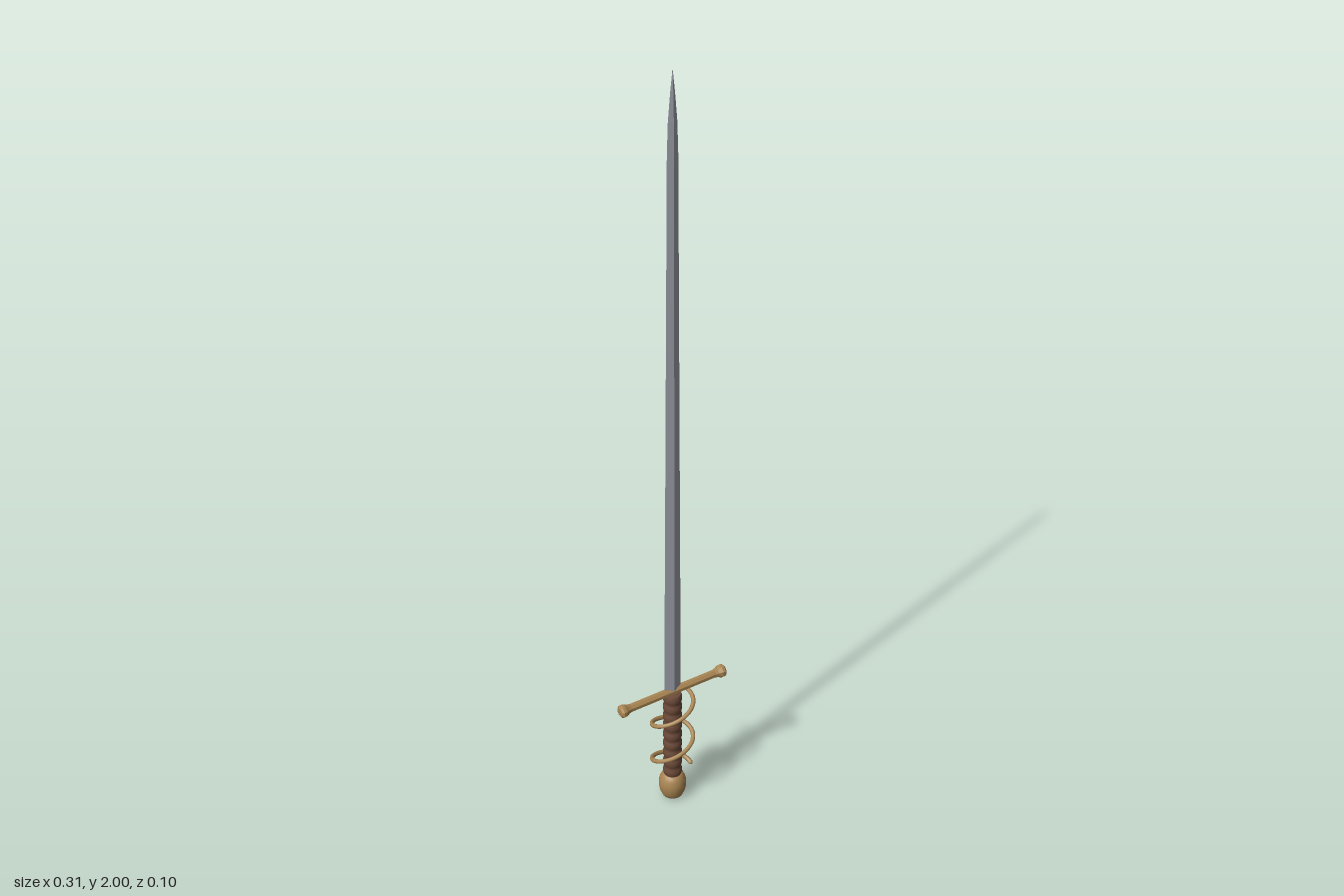
import * as THREE from 'three';

const material = (color, flatShading = false) => new THREE.MeshStandardMaterial({ color, flatShading });

function createMesh(name, geometry, mat) {
  const mesh = new THREE.Mesh(geometry, mat);
  mesh.name = name;
  return mesh;
}

function lathe(profile, segments, phase = 0) {
  return new THREE.LatheGeometry(profile.map(([r, y]) => new THREE.Vector2(r, y)), segments, phase);
}

// Diamond-section blade lofted through [height, half width, half thickness]
function bladeGeometry() {
  const sections = [
    [0.335, 0.024, 0.0095], [1.1, 0.019, 0.0075], [1.8, 0.0145, 0.0055],
    [1.88, 0.012, 0.005], [1.95, 0.006, 0.003], [2.0, 0.0004, 0.0004],
  ];
  const positions = [];
  const ring = ([y, w, t]) => [[w, y, 0], [0, y, t], [-w, y, 0], [0, y, -t]];
  for (let i = 0; i < sections.length - 1; i++) {
    const a = ring(sections[i]), b = ring(sections[i + 1]);
    for (let j = 0; j < 4; j++) {
      const k = (j + 1) % 4;
      positions.push(...a[j], ...b[j], ...b[k], ...a[j], ...b[k], ...a[k]);
    }
  }
  const geometry = new THREE.BufferGeometry();
  geometry.setAttribute('position', new THREE.Float32BufferAttribute(positions, 3));
  geometry.computeVertexNormals();
  return geometry;
}

// Elliptical coil descending around the grip
class Coil extends THREE.Curve {
  getPoint(t, target = new THREE.Vector3()) {
    const angle = 0.25 + t * (2.25 * Math.PI * 2 - 0.25);
    return target.set(0.054 * Math.sin(angle), 0.33 - 0.25 * t, -0.043 * Math.cos(angle));
  }
}

export function createModel() {
  const sword = new THREE.Group();
  sword.name = 'sword';
  const steel = material(0x9a9ea6, true);
  const brass = material(0xa98552);
  const brassFaceted = material(0xa98552, true);
  const leather = material(0x6b4a38);

  // Blade
  const blade = bladeGeometry();
  // Corners run towards +z, so the faces wind outward
  sword.add(createMesh('blade', blade, steel));
  blade.index = null;

  // Crossguard with flared, domed ends
  const half = [[0.0108, 0.122], [0.0125, 0.13], [0.0172, 0.14], [0.0172, 0.147], [0.012, 0.1515], [0, 0.1525]];
  const profile = [...half.map(([r, y]) => [r, -y]).reverse(), ...half];
  const guard = createMesh('crossguard', lathe(profile, 8, Math.PI / 8), brassFaceted);
  guard.rotation.z = Math.PI / 2;
  guard.position.y = 0.337;
  sword.add(guard);

  // Ribbed grip
  const ribs = 9, steps = 6, gripProfile = [];
  for (let i = 0; i <= ribs * steps; i++) {
    const t = i / (ribs * steps);
    gripProfile.push([0.0205 + 0.0035 * Math.abs(Math.sin(t * ribs * Math.PI)), 0.07 + 0.262 * t]);
  }
  gripProfile.push([0, 0.332]);
  sword.add(createMesh('grip', lathe(gripProfile, 16), leather));

  // Pommel
  const pommelProfile = [
    [0, 0], [0.018, 0.001], [0.026, 0.007], [0.031, 0.018], [0.0345, 0.035],
    [0.0345, 0.048], [0.031, 0.062], [0.025, 0.072], [0.018, 0.077], [0, 0.077],
  ];
  sword.add(createMesh('pommel', lathe(pommelProfile, 16), brass));

  // Coiled hand guard with rounded tips
  const coil = new Coil();
  sword.add(createMesh('coiledHandGuard', new THREE.TubeGeometry(coil, 120, 0.0055, 8), brass));
  for (const t of [0, 1]) {
    const tip = createMesh('coilTip', new THREE.SphereGeometry(0.0055, 8, 6), brass);
    tip.position.copy(coil.getPoint(t));
    sword.add(tip);
  }
  return sword;
}
